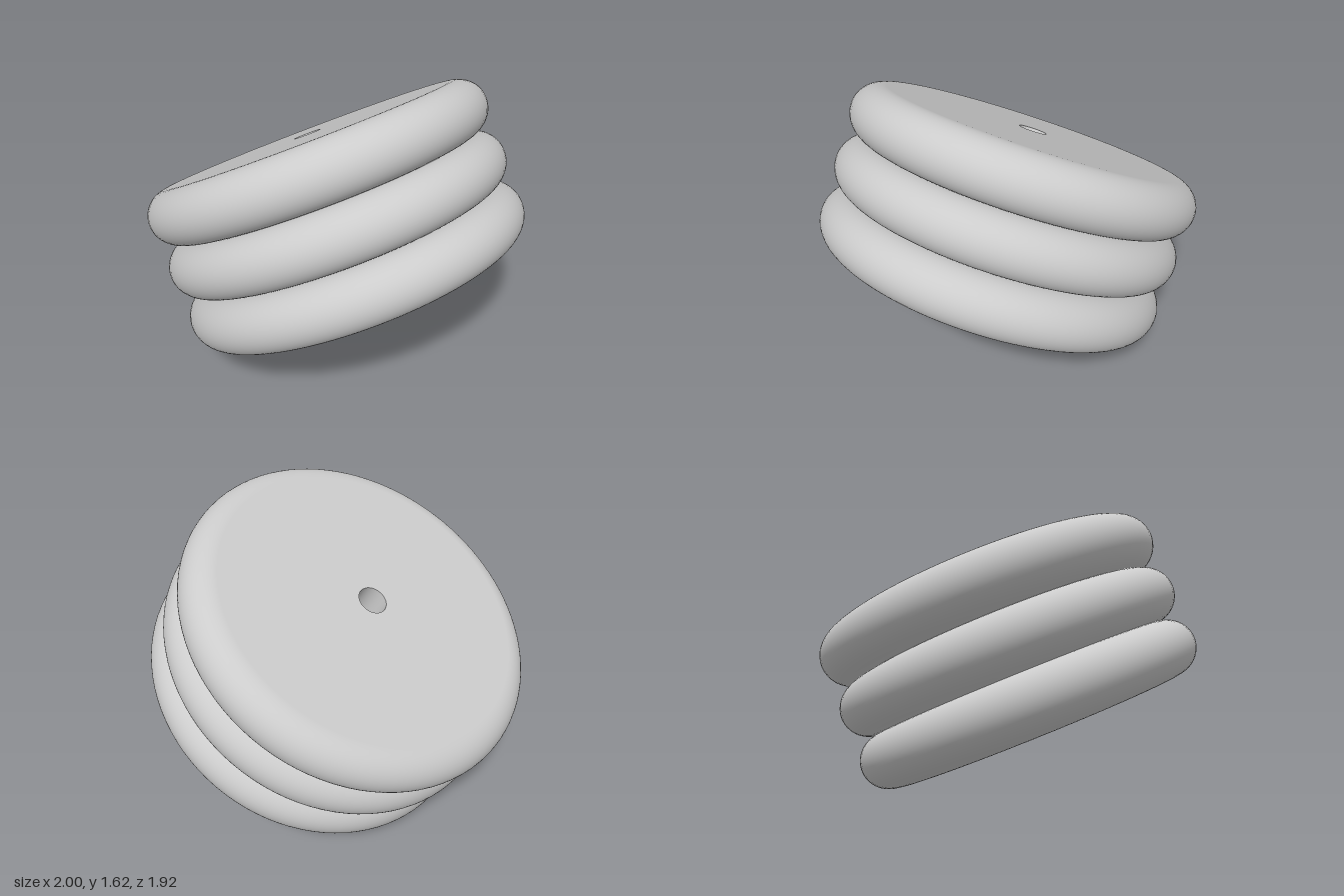
import * as THREE from 'three';

const RING = 0.813;      // distance from axis to centre of the rounded rim
const ROUND = 0.1487;    // rim radius, half the disc thickness
const SPACING = 0.294;   // distance between disc centres
const BORE = 0.077;      // radius of the centre hole
const COUNT = 3;
const SEGMENTS = 96;

const material = new THREE.MeshStandardMaterial({ color: 0xcccccc });

function lathe(name, points) {
  const mesh = new THREE.Mesh(new THREE.LatheGeometry(points, SEGMENTS), material);
  mesh.name = name;
  return mesh;
}

// One disc: a rounded rim, with a flat face only where the stack ends
function disc(name, isBottom, isTop) {
  const seam = Math.asin(SPACING / 2 / ROUND);
  const from = isBottom ? -Math.PI / 2 : -seam;
  const to = isTop ? Math.PI / 2 : seam;
  const points = [];
  if (isBottom) points.push(new THREE.Vector2(BORE, -ROUND));
  const steps = 24;
  for (let i = 0; i <= steps; i++) {
    const a = from + (to - from) * i / steps;
    points.push(new THREE.Vector2(RING + ROUND * Math.cos(a), ROUND * Math.sin(a)));
  }
  if (isTop) points.push(new THREE.Vector2(BORE, ROUND));
  return lathe(name, points);
}

export function createModel() {
  const stack = new THREE.Group();
  stack.name = 'discStack';

  // Three discs pressed together along one axis
  const names = ['lowerDisc', 'middleDisc', 'upperDisc'];
  for (let i = 0; i < COUNT; i++) {
    const part = disc(names[i], i === 0, i === COUNT - 1);
    part.position.y = (i - (COUNT - 1) / 2) * SPACING;
    stack.add(part);
  }

  // Wall of the hole through the whole stack, facing inwards
  const half = SPACING * (COUNT - 1) / 2 + ROUND;
  stack.add(lathe('centreHole', [new THREE.Vector2(BORE, half), new THREE.Vector2(BORE, -half)]));

  // The stack leans 30 degrees
  stack.rotation.z = Math.PI / 6;
  stack.position.y = SPACING * Math.cos(Math.PI / 6) + RING * Math.sin(Math.PI / 6) + ROUND;

  const model = new THREE.Group();
  model.name = 'tiltedDiscs';
  model.add(stack);
  return model;
}
